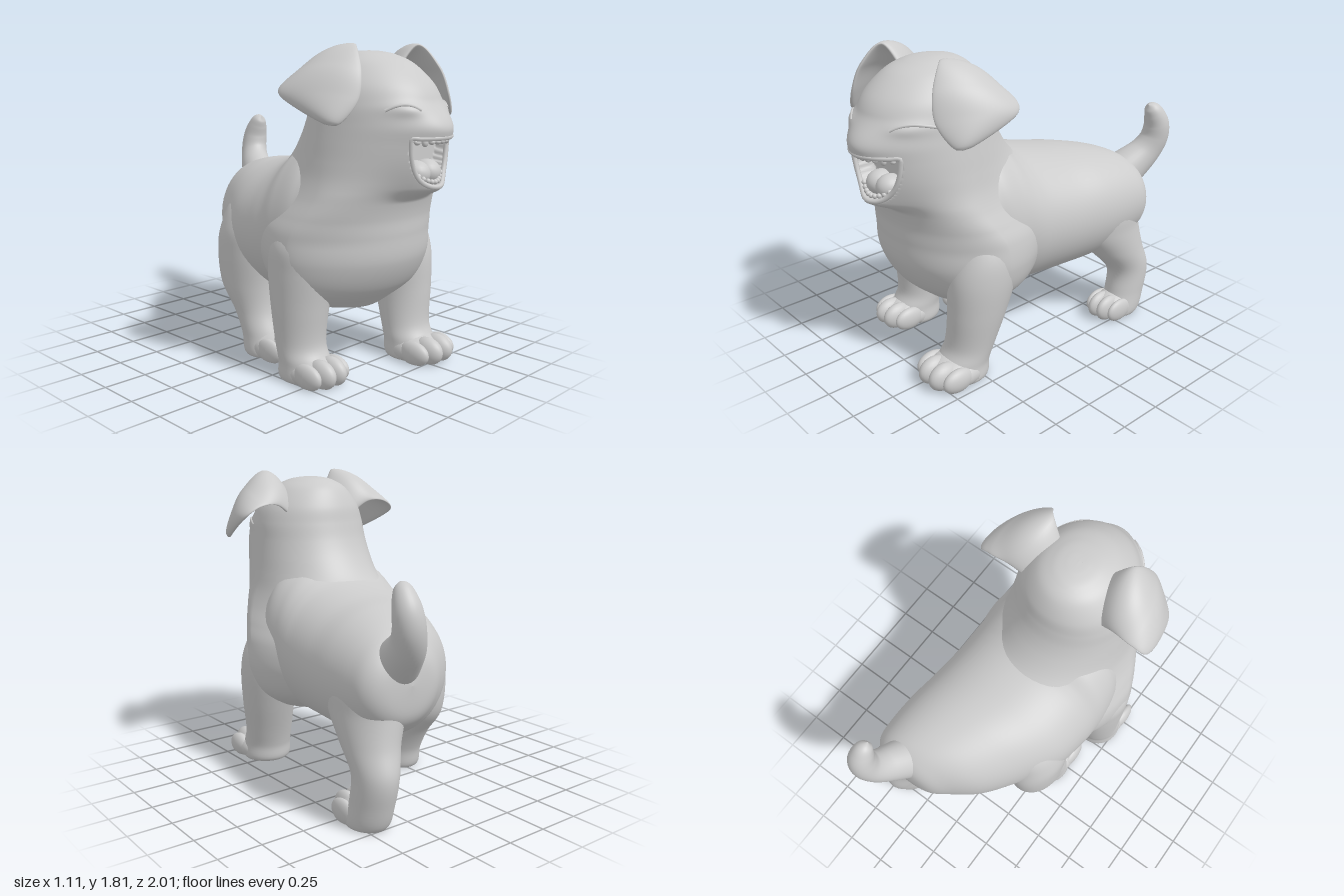
import * as THREE from 'three';

const V = (x, y, z) => new THREE.Vector3(x, y, z);
const { smoothstep, lerp, clamp } = THREE.MathUtils;
const material = new THREE.MeshStandardMaterial({ color: 0xcccccc });

// Smooth interpolation through rows of numbers, t from 0 to 1
function sample(keys, t) {
  const n = keys.length - 1, f = Math.min(t * n, n - 1e-9), i = Math.floor(f), s = f - i;
  const k = (j) => keys[clamp(j, 0, n)];
  return keys[i].map((b, c) => {
    const a = k(i - 1)[c], d = k(i + 1)[c], e = k(i + 2)[c];
    return b + 0.5 * s * (d - a + s * (2 * a - 5 * b + 4 * d - e + s * (3 * (b - d) + e - a)));
  });
}

// Closed skin from rings of points; corners are ordered so that faces point outward
function skin(name, rows, segs, point) {
  const pts = [], index = [];
  for (let i = 0; i <= rows; i++) {
    for (let j = 0; j < segs; j++) {
      const p = point(i / rows, (j / segs) * Math.PI * 2);
      p.y = Math.max(0, p.y);
      pts.push(p);
      if (i === rows) continue;
      const a = i * segs + j, b = i * segs + (j + 1) % segs;
      index.push(a, b, a + segs, b, b + segs, a + segs);
    }
  }
  let volume = 0;
  for (let i = 0; i < index.length; i += 3) {
    volume += pts[index[i]].dot(V(0, 0, 0).crossVectors(pts[index[i + 1]], pts[index[i + 2]]));
  }
  if (volume < 0) index.reverse();
  const geometry = new THREE.BufferGeometry().setFromPoints(pts);
  geometry.setIndex(index);
  geometry.computeVertexNormals();
  return named(name, geometry);
}

function named(name, geometry) {
  const mesh = new THREE.Mesh(geometry, material);
  mesh.name = name;
  return mesh;
}

function blob(name, x, y, z, rx, ry, rz) {
  const g = new THREE.SphereGeometry(1, 24, 16).scale(rx, ry, rz).translate(x, y, z);
  const p = g.attributes.position;
  for (let i = 0; i < p.count; i++) p.setY(i, Math.max(0, p.getY(i)));
  g.computeVertexNormals();
  return named(name, g);
}

function cord(name, points, radius, closed) {
  const curve = new THREE.CatmullRomCurve3(points, closed);
  return named(name, new THREE.TubeGeometry(curve, points.length * 3, radius, 8, closed));
}

// Head, neck and chest profile: y, front z, back z, half width
const PROFILE = [
  [1.77, 0.48, 0.48, 0], [1.766, 0.55, 0.41, 0.065], [1.748, 0.64, 0.335, 0.135], [1.7, 0.75, 0.265, 0.215],
  [1.6, 0.865, 0.21, 0.295], [1.5, 0.92, 0.185, 0.33], [1.4, 0.935, 0.155, 0.345], [1.3, 0.915, 0.105, 0.36],
  [1.2, 0.89, 0.03, 0.375], [1.1, 0.855, -0.08, 0.395], [1.0, 0.81, -0.16, 0.43], [0.9, 0.785, -0.2, 0.475],
  [0.8, 0.78, -0.2, 0.51], [0.65, 0.765, -0.15, 0.52], [0.5, 0.69, -0.05, 0.47], [0.4, 0.58, 0.1, 0.33],
  [0.35, 0.51, 0.27, 0.15], [0.34, 0.4, 0.36, 0],
];
const MOUTH = { x: 0.035, top: 1.335, w: 0.185, h: 0.26 };
const EYES = [-0.17, 0.245];
const bell = (v) => Math.exp(-v * v);

// Muzzle, chin and eyelid swellings on the face
function swelling(x, y) {
  const muzzle = smoothstep(y, 0.985, 1.07) * (1 - smoothstep(y, 1.36, 1.53));
  const rise = smoothstep(y, 1.0, 1.3);
  let z = lerp(0.115, 0.075, rise) * muzzle * bell((x - MOUTH.x) / lerp(0.14, 0.21, rise));
  for (const e of EYES) z += 0.024 * bell((x - e) / 0.075) * bell((y - 1.48) / 0.035);
  return z;
}

// Depth on a ring for s = -1 (back) to 1 (front); the chest is keeled and widest further back
function ringZ(y, s, front, back) {
  const k = smoothstep(y, 0.75, 1.05), middle = lerp(0.38, 0.5, k);
  return s > 0 ? middle + (front - middle) * s ** lerp(1.25, 1, k) : middle + (middle - back) * s;
}

// Front surface of the face at a given x and y
function faceZ(x, y) {
  let lo = 0, hi = 1;
  for (let i = 0; i < 30; i++) {
    const mid = (lo + hi) / 2;
    if (sample(PROFILE, mid)[0] > y) lo = mid; else hi = mid;
  }
  const [, front, back, w] = sample(PROFILE, lo);
  return ringZ(y, Math.sqrt(Math.max(0, 1 - (x / w) ** 2)), front, back) + swelling(x, y);
}

function headAndChest() {
  return skin('headAndChest', 210, 160, (t, a) => {
    const [y, front, back, w] = sample(PROFILE, t);
    const x = w * Math.cos(a), s = Math.sin(a);
    let z = ringZ(y, s, front, back);
    if (s > 0) {
      z += swelling(x, y) * smoothstep(s, 0, 0.3);
      // Hollow of the open mouth
      const down = (MOUTH.top - y) / MOUTH.h;
      const edge = 1 - Math.abs((x - MOUTH.x) / MOUTH.w) ** 2.4 - down * down;
      if (down > 0) z = lerp(z, Math.min(z, 0.8), smoothstep(edge, 0, 0.12) * smoothstep(down, 0, 0.06));
    }
    return V(x, y, z);
  });
}

// Body keys: z, centre x, half width, top, bottom
function torso() {
  const keys = [[0.5, 0, 0, 0.75, 0.75], [0.45, 0, 0.38, 1.2, 0.4], [0.34, 0, 0.45, 1.33, 0.35], [0.2, 0, 0.47, 1.29, 0.34],
    [0.1, 0.01, 0.475, 1.22, 0.345], [0, 0.02, 0.475, 1.175, 0.35], [-0.2, 0.055, 0.465, 1.13, 0.36],
    [-0.4, 0.125, 0.42, 1.105, 0.385], [-0.6, 0.2, 0.35, 1.06, 0.44], [-0.72, 0.265, 0.265, 1.0, 0.51],
    [-0.79, 0.28, 0.165, 0.91, 0.6], [-0.81, 0.28, 0, 0.77, 0.77]];
  return skin('torso', 88, 64, (t, a) => {
    const [z, x, w, top, low] = sample(keys, t);
    const c = Math.cos(a);
    return V(x + w * Math.sign(c) * Math.abs(c) ** 0.92, (top + low) / 2 + (top - low) / 2 * Math.sin(a), z);
  });
}

// Leg keys: y, centre x, centre z, half width, half depth
function leg(name, keys) {
  const end = keys[keys.length - 1];
  const all = [[keys[0][0] + 0.06, keys[0][1], keys[0][2], 0, 0], ...keys, [0, end[1], end[2], 0, 0]];
  return skin(name, 56, 40, (t, a) => {
    const [y, x, z, w, d] = sample(all, t);
    return V(x + w * Math.cos(a), y, z + d * Math.sin(a));
  });
}

// Rounded pad with two large middle toes and two small outer toes
function paw(name, x, heel, toe, w) {
  const group = new THREE.Group();
  group.name = name;
  group.add(blob('pawPad', x, 0.05, (heel + toe) / 2 - 0.015, w * 0.97, 0.1, (toe - heel) / 2 - 0.02));
  for (const s of [-1, 1]) {
    group.add(blob('middleToe', x + s * 0.28 * w, 0.066, toe - 0.1, w * 0.36, 0.08, 0.1));
    group.add(blob('outerToe', x + s * 0.74 * w, 0.058, toe - 0.14, w * 0.28, 0.07, 0.1));
  }
  return group;
}

// Folded ear flap spanned between its front and back edges
function ear(name, side) {
  const front = [[0.13, 1.64, 0.56], [0.25, 1.8, 0.62], [0.32, 1.68, 0.72], [0.37, 1.53, 0.755], [0.45, 1.4, 0.735]];
  const back = [[0.18, 1.5, 0.37], [0.33, 1.61, 0.335], [0.46, 1.61, 0.325], [0.55, 1.54, 0.37], [0.525, 1.415, 0.61]];
  const edges = (t) => [V(...sample(front, t)), V(...sample(back, t))];
  return skin(name, 48, 40, (t, a) => {
    const [f, b] = edges(t);
    const c = f.clone().add(b).multiplyScalar(0.5), u = b.clone().sub(f).multiplyScalar(0.5);
    const [f0, b0] = edges(Math.max(0, t - 0.02)), [f1, b1] = edges(Math.min(1, t + 0.02));
    const n = f1.add(b1).sub(f0).sub(b0).cross(u).normalize();
    const taper = Math.sqrt(1 - t ** 10);
    const lift = 0.03 * taper * Math.sin(a) + 0.045 * Math.sin(Math.PI * t) * Math.sin(a) ** 2;
    const p = c.addScaledVector(u, Math.cos(a) * taper).addScaledVector(n, lift);
    p.x *= side;
    return p;
  });
}

// Tail keys: centre x, y, z and radius
function tail() {
  const keys = [[0.28, 0.82, -0.64, 0.14], [0.32, 0.91, -0.76, 0.122], [0.365, 1.0, -0.865, 0.1], [0.4, 1.09, -0.915, 0.087],
    [0.415, 1.18, -0.918, 0.078], [0.415, 1.255, -0.89, 0.062], [0.41, 1.3, -0.86, 0.04], [0.405, 1.32, -0.84, 0]];
  return skin('tail', 48, 32, (t, a) => {
    const [x, y, z, r] = sample(keys, t);
    const p = sample(keys, Math.max(0, t - 0.01)), q = sample(keys, Math.min(1, t + 0.01));
    const n = V(0, p[2] - q[2], q[1] - p[1]).normalize();
    return V(x + r * Math.cos(a), y, z).addScaledVector(n, r * Math.sin(a));
  });
}

function face() {
  const group = new THREE.Group();
  group.name = 'face';
  // Lip rim around the mouth
  const rim = [];
  for (let i = 0; i <= 20; i++) {
    const a = Math.PI * i / 20, c = Math.cos(a);
    rim.push([MOUTH.x + MOUTH.w * Math.sign(c) * Math.abs(c) ** 0.83, MOUTH.top - MOUTH.h * Math.sin(a)]);
  }
  for (let i = 1; i < 10; i++) rim.push([MOUTH.x - MOUTH.w * (1 - i / 5), MOUTH.top]);
  group.add(cord('lips', rim.map(([x, y]) => V(x, y, faceZ(x, y) - 0.01)), 0.014, true));
  // Teeth along both jaws
  for (let i = -4; i <= 4; i++) {
    const x = MOUTH.x + i * 0.036, low = MOUTH.x + i * 0.026, y = 1.1 + 0.0022 * i * i;
    group.add(blob('upperTooth', x, 1.315, faceZ(x, 1.32) - 0.035, 0.02, Math.abs(i) === 3 ? 0.025 : 0.015, 0.016));
    group.add(blob('lowerTooth', low, y, faceZ(low, y) - 0.035, 0.014, 0.014, 0.014));
  }
  // Tongue with a central groove
  for (const s of [-1, 1]) group.add(blob('tongue', MOUTH.x + s * 0.045, 1.14, 0.83, 0.072, 0.068, 0.08));
  // Closed, smiling eyes
  for (const e of EYES) {
    const arc = [-1, -0.5, 0, 0.5, 1].map((s) => {
      const x = e + s * 0.07, y = 1.475 + 0.028 * (1 - s * s);
      return V(x, y, faceZ(x, y) - 0.003);
    });
    group.add(cord('closedEye', arc, 0.009, false));
  }
  return group;
}

export function createModel() {
  const model = new THREE.Group();
  model.name = 'puppy';
  model.add(headAndChest(), torso(), tail(), face(), ear('leftEar', 1), ear('rightEar', -1));
  model.add(
    leg('leftFrontLeg', [[0.88, 0.3, 0.4, 0.13, 0.17], [0.75, 0.335, 0.42, 0.17, 0.19], [0.6, 0.345, 0.44, 0.177, 0.205],
      [0.4, 0.345, 0.475, 0.157, 0.175], [0.2, 0.325, 0.515, 0.143, 0.142], [0.1, 0.315, 0.555, 0.142, 0.15], [0, 0.315, 0.57, 0.135, 0.14]]),
    leg('rightFrontLeg', [[0.88, -0.3, 0.35, 0.14, 0.17], [0.75, -0.345, 0.34, 0.176, 0.2], [0.6, -0.355, 0.335, 0.174, 0.2],
      [0.4, -0.37, 0.335, 0.154, 0.17], [0.2, -0.375, 0.345, 0.14, 0.142], [0.1, -0.38, 0.38, 0.138, 0.15], [0, -0.38, 0.385, 0.13, 0.14]]),
    leg('leftHindLeg', [[0.92, 0.31, -0.48, 0.14, 0.19], [0.75, 0.355, -0.51, 0.182, 0.25], [0.6, 0.365, -0.535, 0.18, 0.245],
      [0.45, 0.4, -0.61, 0.148, 0.19], [0.3, 0.43, -0.695, 0.117, 0.145], [0.15, 0.435, -0.68, 0.112, 0.135], [0, 0.435, -0.63, 0.105, 0.125]]),
    leg('rightHindLeg', [[0.9, -0.2, -0.17, 0.15, 0.18], [0.75, -0.25, -0.19, 0.172, 0.205], [0.6, -0.265, -0.205, 0.165, 0.215],
      [0.4, -0.272, -0.2, 0.145, 0.19], [0.25, -0.275, -0.14, 0.12, 0.138], [0.12, -0.275, -0.08, 0.118, 0.128], [0, -0.275, -0.05, 0.115, 0.125]]),
    paw('leftFrontPaw', 0.315, 0.43, 0.83, 0.16), paw('rightFrontPaw', -0.38, 0.24, 0.65, 0.145),
    paw('leftHindPaw', 0.43, -0.76, -0.4, 0.12), paw('rightHindPaw', -0.275, -0.17, 0.22, 0.125),
  );
  return model;
}
